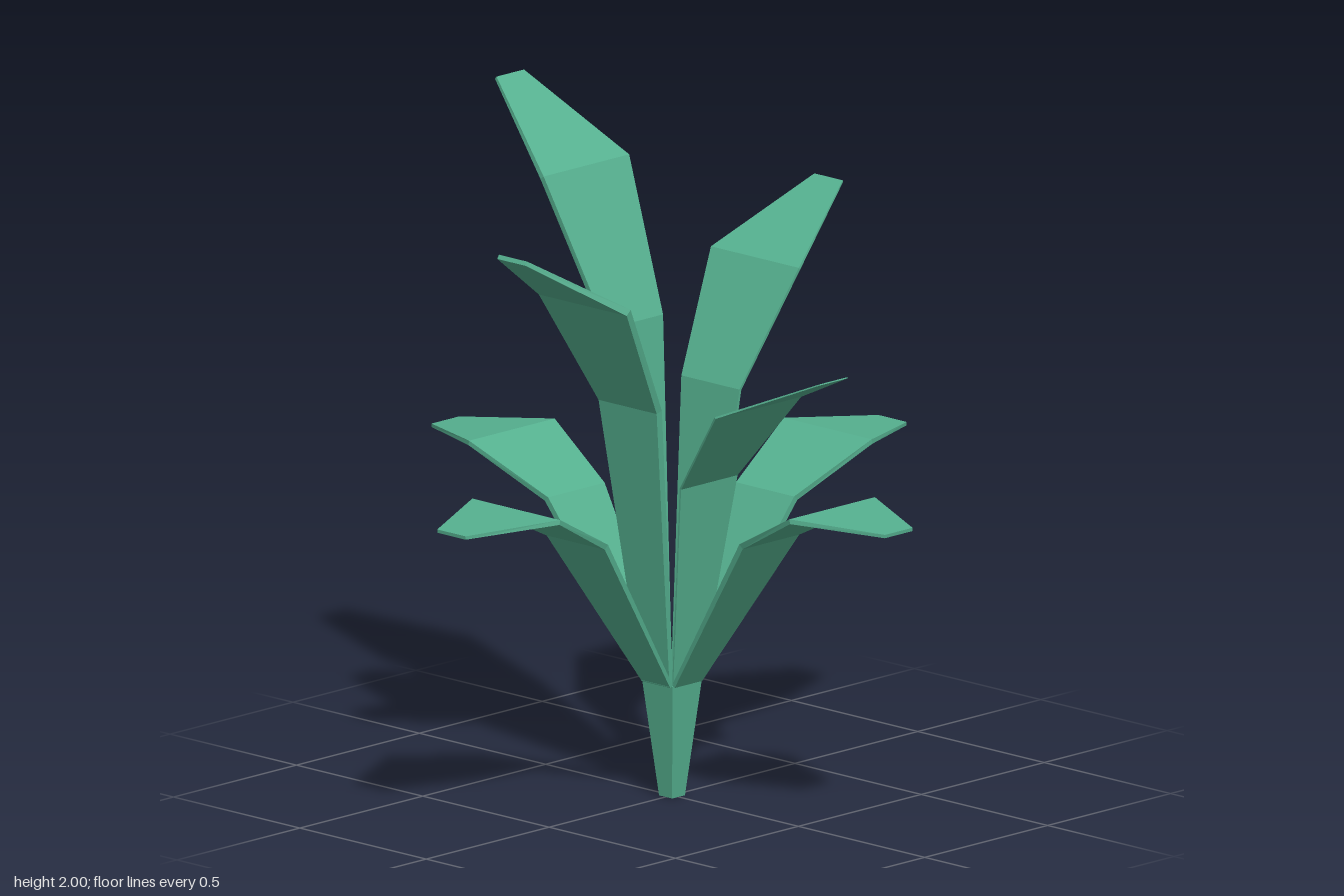
import * as THREE from 'three';

const HALF_WIDTHS = [0.056, 0.115, 0.174, 0.056];

// Folded strip leaf growing along +x: path holds [outward, height] points,
// thick the blade thickness at each of them.
function leafGeometry(path, thick) {
  const pts = path.map(([x, y]) => new THREE.Vector2(x, y));
  const last = pts.length - 1;
  const rings = pts.map((p, i) => {
    const t = pts[Math.min(i + 1, last)].clone().sub(pts[Math.max(i - 1, 0)]).normalize();
    const nx = -t.y * thick[i] / 2, ny = t.x * thick[i] / 2, w = HALF_WIDTHS[i];
    return [
      [p.x + nx, p.y + ny, w], [p.x + nx, p.y + ny, -w],
      [p.x - nx, p.y - ny, -w], [p.x - nx, p.y - ny, w],
    ];
  });
  const pos = [];
  const quad = (a, b, c, d) => pos.push(...a, ...b, ...c, ...a, ...c, ...d);
  for (let i = 0; i < last; i++) {
    for (let k = 0; k < 4; k++) {
      const n = (k + 1) % 4;
      quad(rings[i][k], rings[i + 1][k], rings[i + 1][n], rings[i][n]);
    }
  }
  quad(...rings[0]);
  quad(...[...rings[last]].reverse());
  const geo = new THREE.BufferGeometry();
  geo.setAttribute('position', new THREE.Float32BufferAttribute(pos, 3));
  geo.computeVertexNormals();
  return geo;
}

export function createModel() {
  const group = new THREE.Group();
  const green = new THREE.MeshStandardMaterial({ color: 0x55b08f, flatShading: true });

  const add = (name, geo, angle = 0) => {
    const mesh = new THREE.Mesh(geo, green);
    mesh.name = name;
    mesh.rotation.y = angle;
    group.add(mesh);
  };

  // Square tapered stem
  const stem = new THREE.CylinderGeometry(0.06 * Math.SQRT2, 0.026 * Math.SQRT2, 0.34, 4);
  stem.rotateY(Math.PI / 4);
  stem.translate(0, 0.17, 0);
  add('stem', stem);

  const sides = { Left: 0, Front: -Math.PI / 2, Right: Math.PI, Back: Math.PI / 2 };

  // Four matching drooping outer leaves
  const outer = leafGeometry(
    [[0.06, 0.34], [0.385, 0.82], [0.635, 0.95], [0.897, 0.932]],
    [0.012, 0.018, 0.014, 0.01]);
  for (const [side, angle] of Object.entries(sides)) add('outerLeaf' + side, outer, angle);

  // Upright inner leaves, each with its own height and thickness
  const inner = {
    Left: { path: [[0.057, 0.34], [0.145, 0.945], [0.34, 1.2], [0.64, 1.33]], t: 0.006 },
    Front: { path: [[0.06, 0.34], [0.17, 1.175], [0.355, 1.512], [0.65, 1.69]], t: 0.022 },
    Right: { path: [[0.06, 0.34], [0.155, 1.36], [0.345, 1.78], [0.643, 1.997]], t: 0.016 },
    Back: { path: [[0.057, 0.34], [0.16, 1.18], [0.34, 1.512], [0.638, 1.692]], t: 0.008 },
  };
  for (const [side, { path, t }] of Object.entries(inner)) {
    add('innerLeaf' + side, leafGeometry(path, [t * 0.7, t, t, t * 0.6]), sides[side]);
  }
  return group;
}
